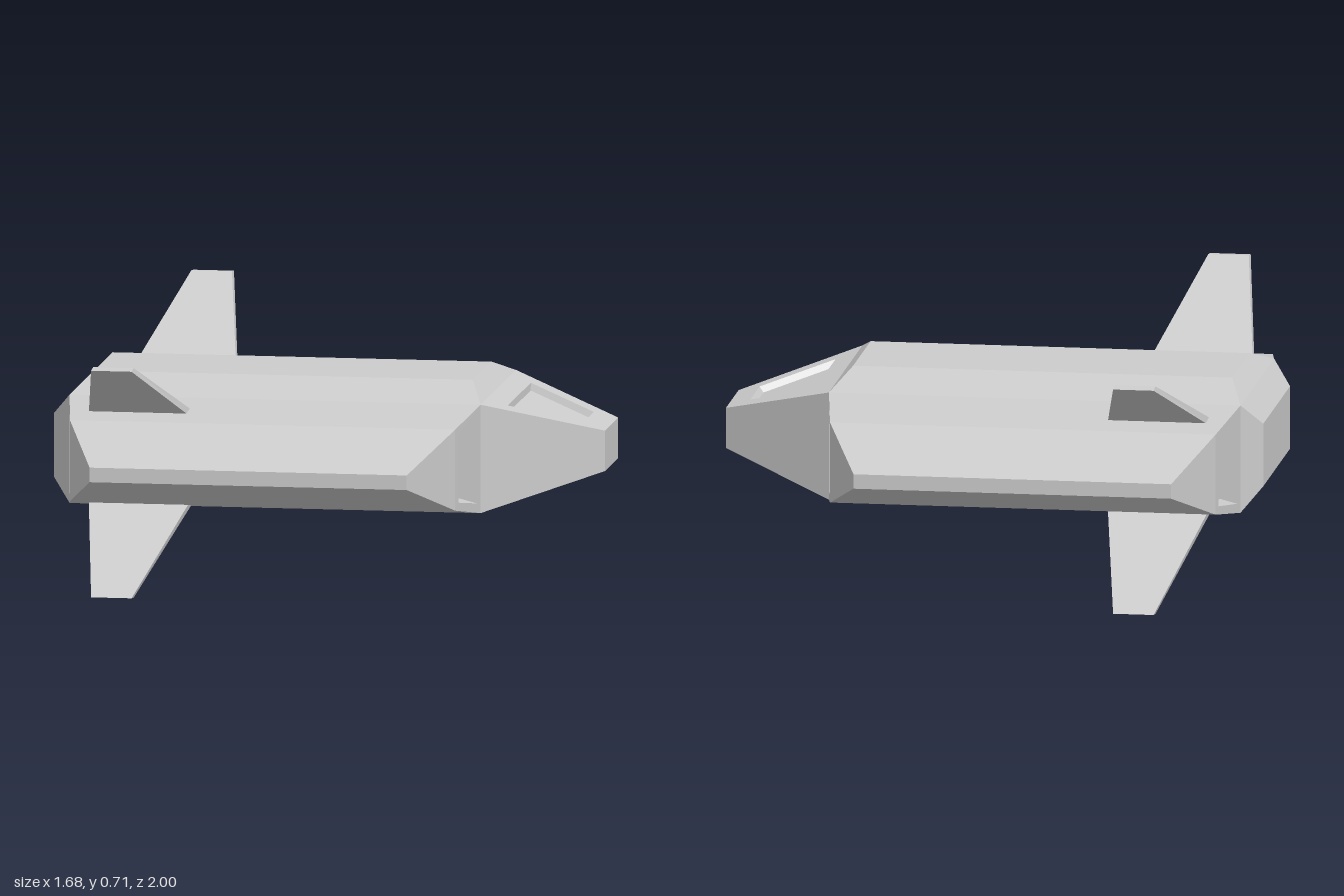
import * as THREE from 'three';

const material = new THREE.MeshStandardMaterial({ color: 0xcccccc, flatShading: true });
const V = (x, y, z) => new THREE.Vector3(x, y, z);
const middle = (pts) => pts.reduce((s, p) => s.add(p), V(0, 0, 0)).divideScalar(pts.length);

// Collects flat quads; each is turned to face along the hint direction
class Faces {
  constructor() { this.data = []; }
  quad(a, b, c, d, hint) {
    const n = c.clone().sub(a).cross(d.clone().sub(b));
    const q = n.dot(hint) < 0 ? [d, c, b, a] : [a, b, c, d];
    for (const i of [0, 1, 2, 0, 2, 3]) this.data.push(q[i].x, q[i].y, q[i].z);
  }
  mesh(name) {
    const g = new THREE.BufferGeometry();
    g.setAttribute('position', new THREE.Float32BufferAttribute(this.data, 3));
    g.computeVertexNormals();
    const m = new THREE.Mesh(g, material);
    m.name = name;
    return m;
  }
}

// Panel with a recessed window: frame goes to shell, walls and floor to recess
function windowPanel(shell, recess, outer, hole, hint, depth, shrink) {
  const n = outer[2].clone().sub(outer[0]).cross(outer[3].clone().sub(outer[1])).normalize();
  if (n.dot(hint) < 0) n.negate();
  const c = middle(hole);
  const floor = hole.map((p) => p.clone().lerp(c, 1 - shrink).addScaledVector(n, -depth));
  for (let i = 0; i < 4; i++) {
    const j = (i + 1) % 4;
    shell.quad(outer[i], outer[j], hole[j], hole[i], n);
    const inward = c.clone().sub(middle([hole[i], hole[j]]));
    recess.quad(hole[i], hole[j], floor[j], floor[i], inward);
  }
  recess.quad(...floor, n);
}

// Main hull: rectangular sections [z, xBack, xNose, yLow, yHigh] lofted along z
function buildHull(group) {
  const half = [
    [0.84, -0.64, 0.34, 0.335, 0.38],
    [0.59, -0.74, 0.45, 0.235, 0.485],
    [0.345, -0.78, 0.49, 0.19, 0.525],
    [0.18, -0.73, 0.44, 0.17, 0.575],
  ];
  const sections = [...half, ...half.map(([z, ...r]) => [-z, ...r]).reverse()];
  const corners = ([z, xb, xn, yl, yh]) => [V(xb, yl, z), V(xn, yl, z), V(xn, yh, z), V(xb, yh, z)];
  const hull = new Faces(), recess = new Faces();
  const up = V(0, 1, 0), down = V(0, -1, 0);

  for (let i = 0; i < sections.length - 1; i++) {
    const a = corners(sections[i]), b = corners(sections[i + 1]);
    hull.quad(a[0], a[1], b[1], b[0], down);
    hull.quad(a[3], a[2], b[2], b[3], up);
  }
  hull.quad(...corners(sections[0]), V(0, 0, 1));
  hull.quad(...corners(sections[7]), V(0, 0, -1));

  // Side panels: plain at the outer ends, windowed next to nose and tail
  for (const s of [1, -1]) {
    const [A, B, C] = half.slice(0, 3).map(([z, ...r]) => corners([z * s, ...r]));
    for (const [lo, hi, dir] of [[1, 2, 1], [0, 3, -1]]) {
      const hint = V(dir, 0, 0);
      hull.quad(A[lo], A[hi], B[hi], B[lo], hint);
      const xAt = (z) => C[lo].x - dir * (z - 0.345) * 0.163;
      const P = (y, z) => V(xAt(z), y, z * s);
      const hole = [P(0.225, 0.378), P(0.49, 0.378), P(0.465, 0.56), P(0.255, 0.56)];
      windowPanel(hull, recess, [C[lo], C[hi], B[hi], B[lo]], hole, hint, 0.05, 0.9);
    }
  }

  // Sloped strips between the roof or belly and the nose and tail
  for (const [xo, xi, dir] of [[0.49, 0.44, 1], [-0.78, -0.73, -1]]) {
    for (const [yo, yi, vert] of [[0.525, 0.575, 1], [0.19, 0.17, -1]]) {
      hull.quad(V(xo, yo, 0.345), V(xo, yo, -0.345), V(xi, yi, -0.18), V(xi, yi, 0.18), V(dir, vert, 0));
    }
  }
  group.add(hull.mesh('hull'), recess.mesh('sideWindows'));
}

// Tapered block on an end of the hull; optional window in its top
function buildEnd(group, name, x0, x1, z1, yl, yh, hole) {
  const dir = Math.sign(x1 - x0);
  const ring = (x, z, lo, hi) => [V(x, lo, z), V(x, hi, z), V(x, hi, -z), V(x, lo, -z)];
  const a = ring(x0, 0.345, 0.19, 0.525), b = ring(x1, z1, yl, yh);
  const hints = [V(0, 0, 1), V(0, 1, 0), V(0, 0, -1), V(0, -1, 0)];
  const block = new Faces(), recess = new Faces();
  for (let i = 0; i < 4; i++) {
    const j = (i + 1) % 4;
    const panel = [a[i], a[j], b[j], b[i]];
    if (i === 1 && hole) windowPanel(block, recess, panel, hole, hints[i], 0.02, 0.93);
    else block.quad(...panel, hints[i]);
  }
  block.quad(...b, V(dir, 0, 0));
  group.add(block.mesh(name));
  if (hole) group.add(recess.mesh(name + 'Window'));
}

// Thin swept fin, mirrored up/down about y = 0.355 and front/back
function buildFin(sy, sz) {
  const P = (x, y, z) => V(x, 0.355 + sy * (y - 0.355), sz * z);
  const root = [P(-0.7, 0.504, 0.44), P(-0.39, 0.504, 0.44), P(-0.39, 0.49, 0.475), P(-0.7, 0.49, 0.475)];
  const tip = [P(-0.61, 0.71, 0.96), P(-0.485, 0.71, 0.96), P(-0.485, 0.705, 1), P(-0.61, 0.705, 1)];
  const hints = [V(0, sy, -0.4 * sz), V(1, 0, 0), V(0, -sy, 0.4 * sz), V(-1, 0, 0)];
  const fin = new Faces();
  for (let i = 0; i < 4; i++) {
    const j = (i + 1) % 4;
    fin.quad(root[i], root[j], tip[j], tip[i], hints[i]);
  }
  fin.quad(...tip, V(0, sy, sz));
  fin.quad(...root, V(0, -sy, -sz));
  return fin.mesh((sy > 0 ? 'upper' : 'lower') + (sz > 0 ? 'Front' : 'Back') + 'Fin');
}

export function createModel() {
  const group = new THREE.Group();
  group.name = 'shuttle';
  buildHull(group);

  // Nose with windscreen, and plain tail
  const slope = (x) => 0.525 - (x - 0.49) * 0.3;
  const W = (x, z) => V(x, slope(x), z);
  const screen = [W(0.555, 0.225), W(0.555, -0.225), W(0.77, -0.095), W(0.77, 0.095)];
  buildEnd(group, 'nose', 0.49, 0.84, 0.13, 0.295, 0.42, screen);
  buildEnd(group, 'tail', -0.78, -0.84, 0.275, 0.26, 0.455);

  for (const sy of [1, -1]) for (const sz of [1, -1]) group.add(buildFin(sy, sz));
  return group;
}
